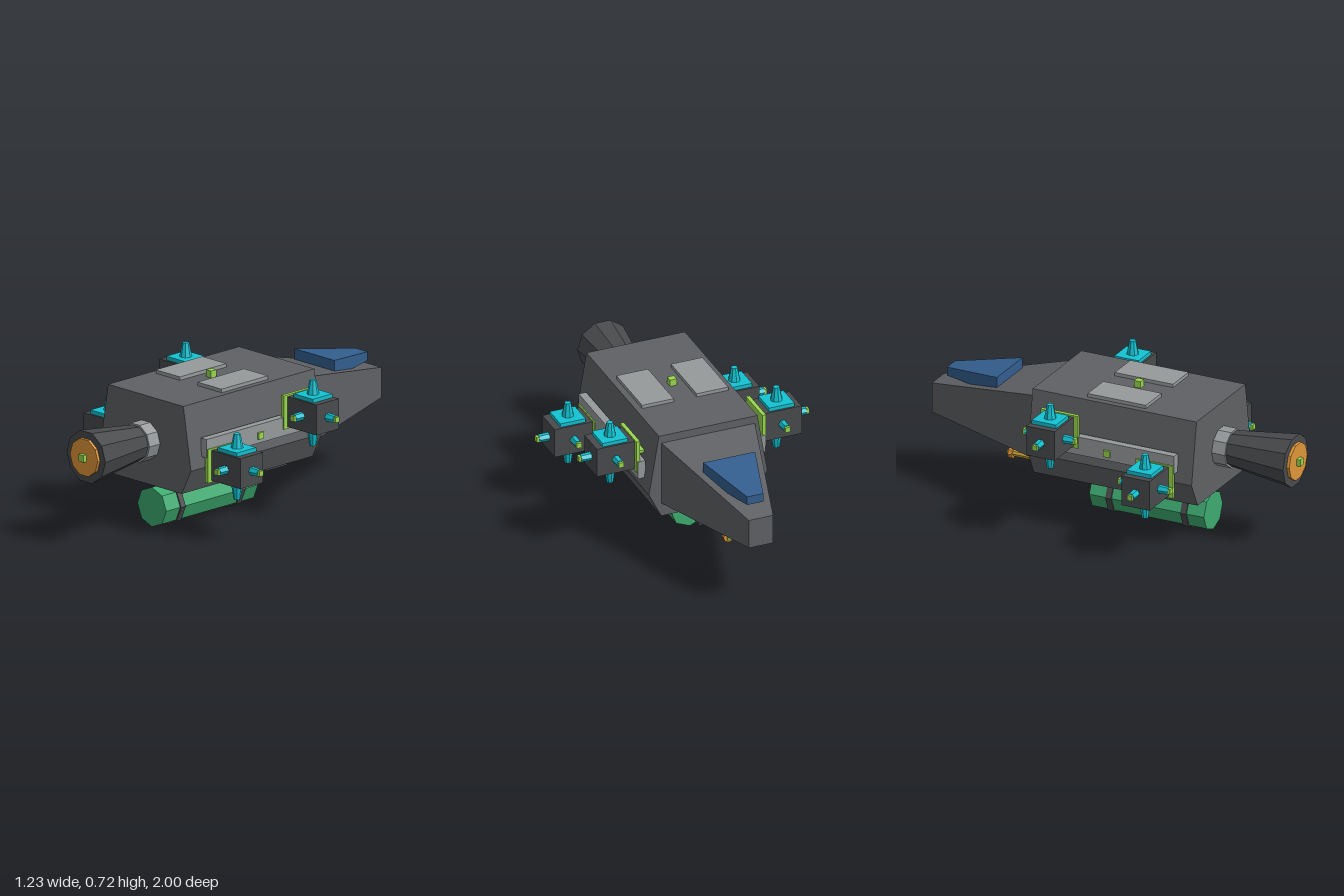
import * as THREE from 'three';

const mat = (color) => new THREE.MeshStandardMaterial({ color, flatShading: true });
const M = {
  hull: mat(0x5f6164), dark: mat(0x484a4c), panel: mat(0x95999b), lime: mat(0x9ad84f),
  teal: mat(0x12c2d2), tank: mat(0x3dab70), glass: mat(0x335e8e), orange: mat(0xdf9538), gold: mat(0xcfa63a),
};

function add(parent, name, geometry, material, x = 0, y = 0, z = 0) {
  const mesh = new THREE.Mesh(geometry, material);
  mesh.name = name;
  mesh.position.set(x, y, z);
  parent.add(mesh);
  return mesh;
}
const box = (w, h, d) => new THREE.BoxGeometry(w, h, d);

// Cylinder along z: r0 at the +z end, r1 at the -z end, a corner on the x axis
const rodZ = (r0, r1, length, sides) =>
  new THREE.CylinderGeometry(r0, r1, length, sides).rotateY(Math.PI / 2).rotateX(Math.PI / 2);

// Six-sided block between two rectangles { z, w: half width, y0, y1 }
function taperedBlock(back, tip) {
  const g = box(1, 1, 1);
  const p = g.attributes.position;
  for (let i = 0; i < p.count; i++) {
    const s = p.getZ(i) > 0 ? back : tip;
    p.setXYZ(i, Math.sign(p.getX(i)) * s.w, p.getY(i) > 0 ? s.y1 : s.y0, s.z);
  }
  g.computeVertexNormals();
  return g;
}

// Thruster block on the +x side; side = -1 mirrors the layout
function thrusterBlock(side, y, z) {
  const g = new THREE.Group();
  g.name = 'thrusterBlock';
  g.position.set(side * 0.443, y, z);
  add(g, 'thrusterBody', box(0.205, 0.155, 0.155), M.dark);
  add(g, 'mountPlate', box(0.02, 0.172, 0.205), M.lime, -side * 0.108);
  add(g, 'mountStrut', box(0.08, 0.015, 0.12), M.lime, -side * 0.145);
  // upper and lower nozzles
  add(g, 'nozzleFlange', box(0.134, 0.02, 0.134), M.teal, 0, 0.087);
  add(g, 'upperNozzle', new THREE.CylinderGeometry(0.017, 0.031, 0.072, 8), M.teal, 0, 0.132);
  add(g, 'lowerNozzle', new THREE.CylinderGeometry(0.031, 0.017, 0.09, 8), M.teal, 0, -0.122);
  // outward, forward and rearward nozzles with end caps
  for (const [angle, reach] of [[side * Math.PI / 2, 0.102], [0, 0.077], [Math.PI, 0.077]]) {
    const arm = new THREE.Group();
    arm.name = 'sideNozzle';
    arm.rotation.y = angle;
    add(arm, 'nozzleTube', rodZ(0.02, 0.022, 0.054, 6), M.teal, 0, 0, reach + 0.027);
    add(arm, 'nozzleCap', box(0.027, 0.027, 0.016), M.lime, 0, 0, reach + 0.06);
    g.add(arm);
  }
  return g;
}

export function createModel() {
  const ship = new THREE.Group();
  ship.name = 'spacecraft';

  // Hull: six-sided section
  const section = new THREE.Shape([[-0.25, 0.24], [0.25, 0.24], [0.315, 0.37], [0.262, 0.69], [-0.262, 0.69], [-0.315, 0.37]]
    .map(([x, y]) => new THREE.Vector2(x, y)));
  add(ship, 'hull', new THREE.ExtrudeGeometry(section, { depth: 0.9, bevelEnabled: false }), M.hull, 0, 0, -0.345);

  // Nose and canopy
  add(ship, 'nose', taperedBlock({ z: -0.34, w: 0.25, y0: 0.31, y1: 0.65 }, { z: -1, w: 0.065, y0: 0.36, y1: 0.515 }), M.hull);
  add(ship, 'canopy', taperedBlock({ z: -0.605, w: 0.138, y0: 0.56, y1: 0.65 }, { z: -0.928, w: 0.043, y0: 0.56, y1: 0.605 }), M.glass);

  // Main engine
  const ey = 0.463;
  add(ship, 'engineCollar', rodZ(0.1, 0.1, 0.08, 10), M.panel, 0, ey, 0.587);
  add(ship, 'engineNozzle', rodZ(0.135, 0.09, 0.34, 10), M.dark, 0, ey, 0.795);
  add(ship, 'engineGlow', rodZ(0.097, 0.097, 0.02, 10), M.orange, 0, ey, 0.97);
  add(ship, 'engineMarker', box(0.036, 0.036, 0.03), M.lime, 0, ey, 0.985);

  // Small attachment markers above and below the hull
  add(ship, 'topMarker', box(0.036, 0.036, 0.036), M.lime, 0, 0.707, 0.105);
  add(ship, 'bottomMarker', box(0.036, 0.036, 0.036), M.lime, 0, 0.223, 0.105);

  // Mirrored fittings
  for (const side of [1, -1]) {
    add(ship, 'topPanel', box(0.168, 0.02, 0.32), M.panel, side * 0.145, 0.698, 0.1);
    add(ship, 'sidePanel', box(0.04, 0.095, 0.735), M.panel, side * 0.319, 0.472, 0.104);
    add(ship, 'sideMarker', box(0.036, 0.034, 0.034), M.lime, side * 0.333, ey, 0.105);
    ship.add(thrusterBlock(side, 0.545, -0.157), thrusterBlock(side, 0.382, 0.365));
  }

  // Belly tank with bands and mount
  add(ship, 'tank', rodZ(0.101, 0.101, 0.63, 8), M.tank, 0, 0.11, 0.198);
  for (const z of [0.402, -0.01]) add(ship, 'tankBand', rodZ(0.108, 0.108, 0.032, 8), M.dark, 0, 0.11, z);
  add(ship, 'tankMount', box(0.17, 0.024, 0.105), M.lime, 0, 0.226, 0.198);

  // Underslung gun
  add(ship, 'gunHousing', box(0.11, 0.076, 0.145), M.dark, 0, 0.187, -0.288);
  add(ship, 'gunMarker', box(0.025, 0.018, 0.022), M.lime, 0, 0.15, -0.223);
  add(ship, 'gunBarrel', rodZ(0.018, 0.018, 0.25, 8), M.gold, 0, 0.2, -0.475);
  add(ship, 'gunMuzzle', rodZ(0.029, 0.029, 0.022, 8), M.orange, 0, 0.2, -0.592);
  add(ship, 'muzzleMarker', box(0.022, 0.022, 0.018), M.lime, 0, 0.2, -0.607);

  return ship;
}
